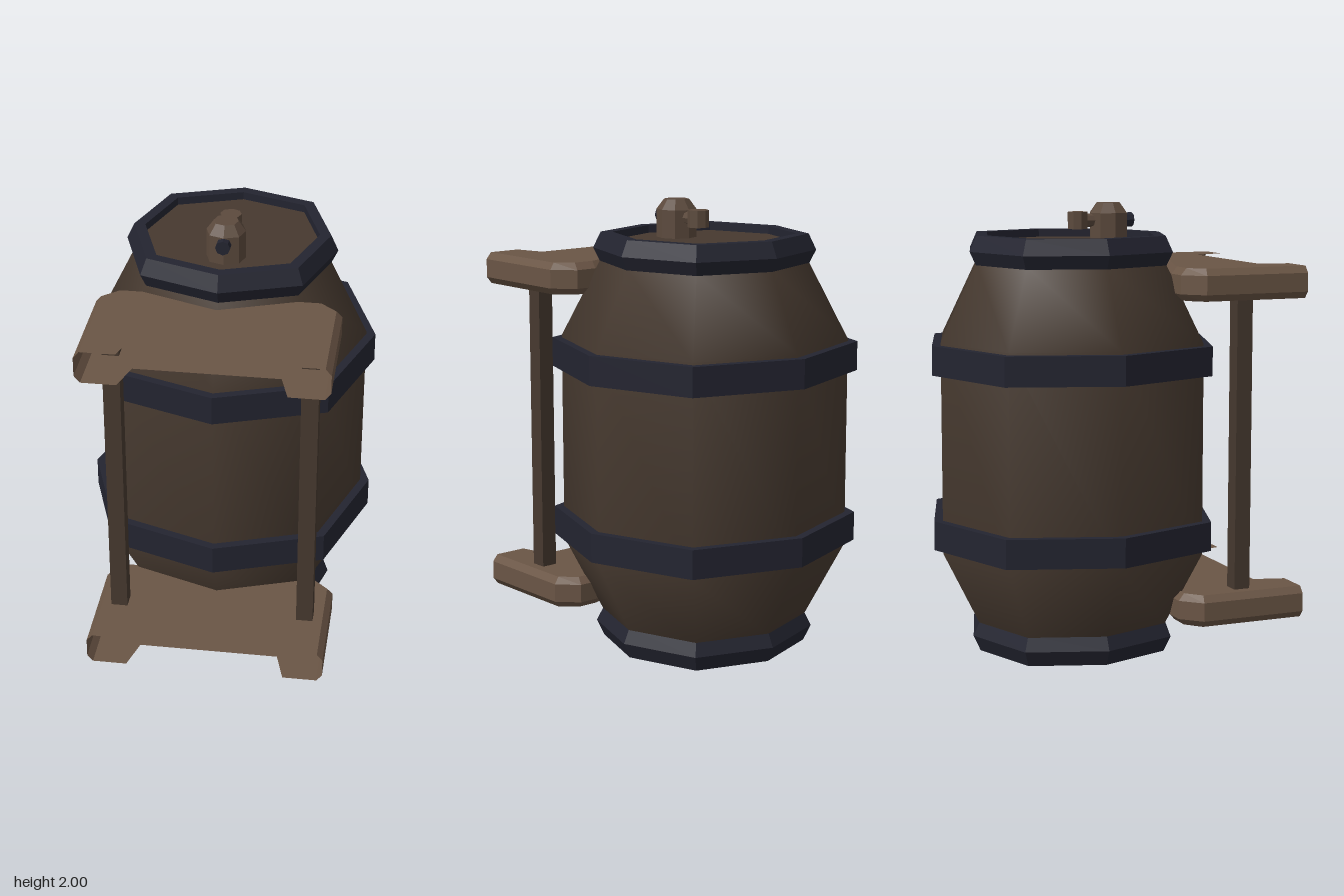
import * as THREE from 'three';

const mat = (name, color, extra = {}) => {
  const m = new THREE.MeshStandardMaterial({ color, ...extra });
  m.name = name;
  return m;
};

const CZ = -0.14; // barrel axis

export function createModel() {
  const group = new THREE.Group();
  const darkWood = mat('dark wood', 0x46392f);
  const standWood = mat('stand wood', 0x6a5545, { side: THREE.DoubleSide });
  const tapWood = mat('tap wood', 0x5c4a3d);
  const iron = mat('dark iron', 0x232430);

  const add = (name, geo, material, x = 0, y = 0, z = 0) => {
    const mesh = new THREE.Mesh(geo, material);
    mesh.name = name;
    mesh.position.set(x, y, z);
    group.add(mesh);
    return mesh;
  };
  const flat = (geo) => {
    const g = geo.index ? geo.toNonIndexed() : geo;
    g.computeVertexNormals();
    return g;
  };

  // Eight-sided turned form whose diagonal corners are pushed out slightly
  const turned = (profile) => {
    const g = new THREE.LatheGeometry(profile.map(([r, y]) => new THREE.Vector2(r, y)), 8);
    const p = g.attributes.position;
    for (let i = 0; i < p.count; i++) {
      const x = p.getX(i), z = p.getZ(i);
      const s = Math.abs(x * z) > 1e-5 ? 1.054 : 1;
      p.setXYZ(i, x * s, p.getY(i), z * s);
    }
    return g;
  };

  // Barrel body, smooth around
  add('barrelBody', turned([[0.435, 0.12], [0.605, 0.46], [0.605, 1.4], [0.435, 1.745]]), darkWood, 0, 0, CZ);

  // End discs, recessed in the rims
  add('bottomLid', flat(turned([[0, 0.03], [0.39, 0.03]])), darkWood, 0, 0, CZ);
  add('topLid', flat(turned([[0.39, 1.83], [0, 1.83]])), darkWood, 0, 0, CZ);

  // End rims
  const rim = [[0.385, 0.04], [0.385, 0], [0.435, 0], [0.467, 0.07], [0.435, 0.138], [0.385, 0.138]];
  add('bottomRim', flat(turned(rim)), iron, 0, 0, CZ);
  add('topRim', flat(turned(rim.map(([r, y]) => [r, 1.865 - y]).reverse())), iron, 0, 0, CZ);

  // Hoops
  for (const y of [0.48, 1.26]) {
    const hoop = [[0.59, y], [0.645, y], [0.645, y + 0.13], [0.59, y + 0.13]];
    add(y < 1 ? 'lowerHoop' : 'upperHoop', flat(turned(hoop)), iron, 0, 0, CZ);
  }

  // Stand plates: bevelled shells, open along the front
  const mirrored = (half) => [...half, ...half.slice(0, -1).reverse().map(([x, z]) => [-x, z])];
  const outer = mirrored([[0.525, 0.78], [0.525, 0.29], [0.44, 0.205], [0.34, 0.205], [0, 0.328]]);
  const inner = mirrored([[0.5, 0.78], [0.5, 0.297], [0.43, 0.235], [0.332, 0.235], [0, 0.355]]);
  const notch = [[-0.35, 0.78], [-0.31, 0.64], [0.31, 0.64], [0.35, 0.78]];
  const T = 0.143, B = 0.03;
  const plate = (name, y0) => {
    const rows = [[inner, 0], [outer, B], [outer, T - B], [inner, T]];
    const pos = [], idx = [];
    for (const [line, y] of rows) for (const [x, z] of line) pos.push(x, y, z);
    const n = outer.length;
    for (let r = 0; r < 3; r++) {
      for (let i = 0; i < n - 1; i++) {
        const a = r * n + i, b = a + 1, c = a + n, d = c + 1;
        idx.push(a, b, c, b, d, c);
      }
    }
    const wall = new THREE.BufferGeometry();
    wall.setAttribute('position', new THREE.Float32BufferAttribute(pos, 3));
    wall.setIndex(idx);
    add(name + 'Edge', flat(wall), standWood, 0, y0, 0);
    const shape = new THREE.Shape([...inner, ...notch].map(([x, z]) => new THREE.Vector2(x, z)));
    const face = new THREE.ShapeGeometry(shape).rotateX(Math.PI / 2);
    add(name + 'Underside', face, standWood, 0, y0, 0);
    add(name + 'Top', face, standWood, 0, y0 + T, 0);
  };
  plate('lowerStand', 0.143);
  plate('upperStand', 1.588);

  // Posts joining the plates
  for (const s of [-1, 1]) {
    add(s > 0 ? 'leftPost' : 'rightPost', new THREE.BoxGeometry(0.074, 1.41, 0.074), darkWood, s * 0.42, 0.935, 0.508);
  }

  // Tap on the top lid
  add('tapBody', flat(turned([[0.085, 1.82], [0.085, 1.955], [0.053, 2], [0, 2]])), tapWood, 0, 0, 0.048);
  const tapStem = (name, r, z0, z1, material) =>
    add(name, flat(new THREE.CylinderGeometry(r, r, z1 - z0, 8).rotateX(Math.PI / 2)), material, 0, 1.922, (z0 + z1) / 2);
  tapStem('tapStem', 0.03, -0.08, 0.05, tapWood);
  tapStem('tapSpout', 0.032, 0.05, 0.162, iron);
  add('tapHandle', flat(new THREE.CylinderGeometry(0.047, 0.047, 0.076, 8)), tapWood, 0, 1.923, -0.1);

  return group;
}
